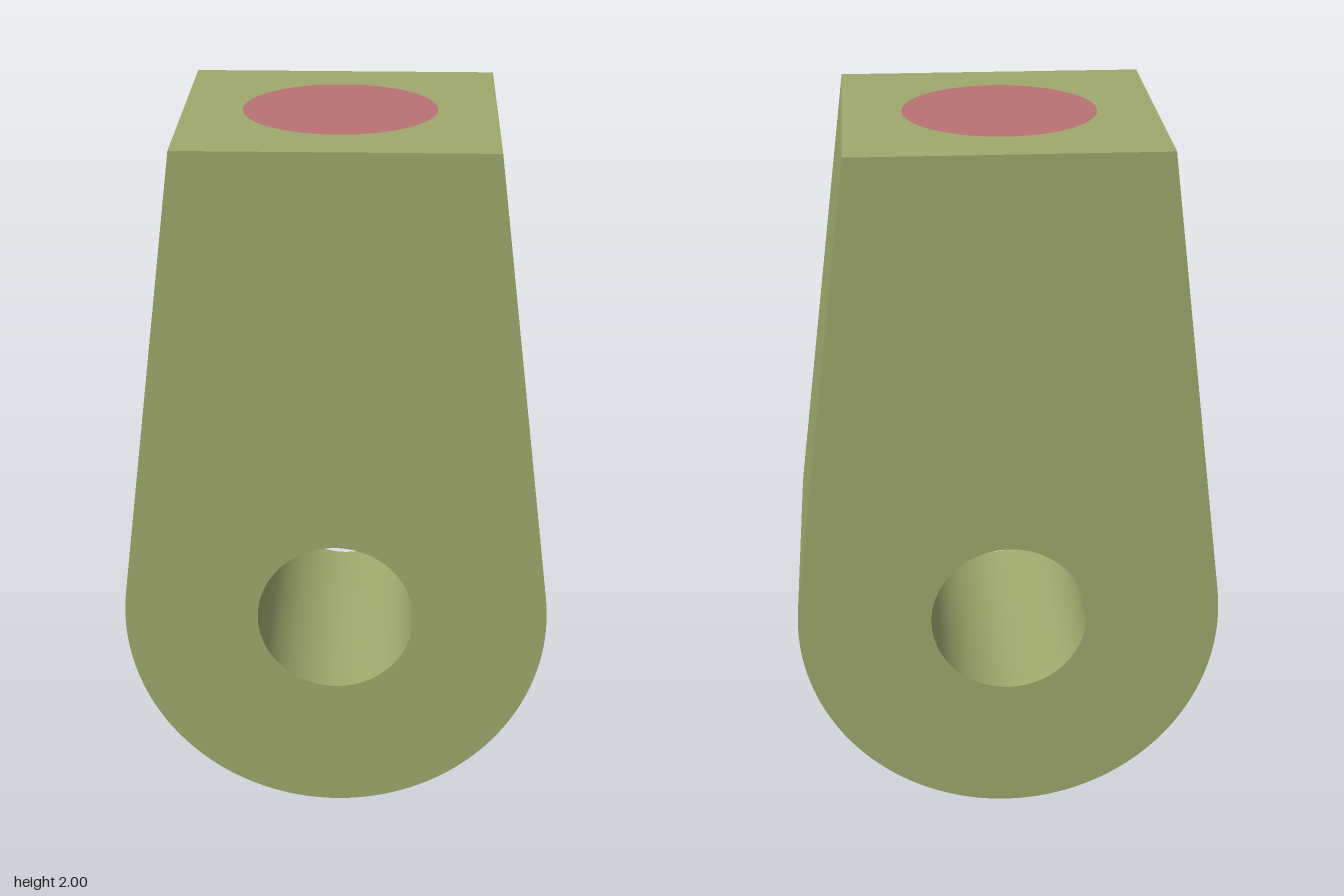
import * as THREE from 'three';
import { toCreasedNormals } from 'three/addons/utils/BufferGeometryUtils.js';

const R = 0.61;        // rounded end radius, also its centre height
const HOLE = 0.225;    // cross hole radius
const TOP = 0.445;     // half width of the top
const DEPTH = 0.89;
const PAD = 0.277;     // radius of the round mark on top

export function createModel() {
  const group = new THREE.Group();
  const olive = new THREE.MeshStandardMaterial({ color: 0x9fa96d });
  olive.name = 'olive green';
  const rose = new THREE.MeshStandardMaterial({ color: 0xb97275 });
  rose.name = 'dusty rose';

  // Angle at which the straight sides touch the rounded end
  const rise = 2 - R;
  const tangent = Math.atan2(rise, TOP) - Math.acos(R / Math.hypot(TOP, rise));

  // Tapered lug with a round bottom and a cross hole
  const outline = new THREE.Shape();
  outline.moveTo(TOP, 2);
  outline.lineTo(-TOP, 2);
  outline.absarc(0, R, R, Math.PI - tangent, Math.PI * 2 + tangent, false);
  outline.closePath();
  const hole = new THREE.Path();
  hole.absarc(0, R, HOLE, 0, Math.PI * 2, true);
  outline.holes.push(hole);

  const lugGeometry = new THREE.ExtrudeGeometry(outline, {
    depth: DEPTH, bevelEnabled: false, curveSegments: 64,
  });
  lugGeometry.translate(0, 0, -DEPTH / 2);
  const lug = new THREE.Mesh(toCreasedNormals(lugGeometry, 0.5), olive);
  lug.name = 'lugBody';
  group.add(lug);

  // Flush round contact face on the top
  const pad = new THREE.Mesh(new THREE.CircleGeometry(PAD, 64), rose);
  pad.name = 'topContactFace';
  pad.rotation.x = -Math.PI / 2;
  pad.position.y = 2.002;
  group.add(pad);

  return group;
}
